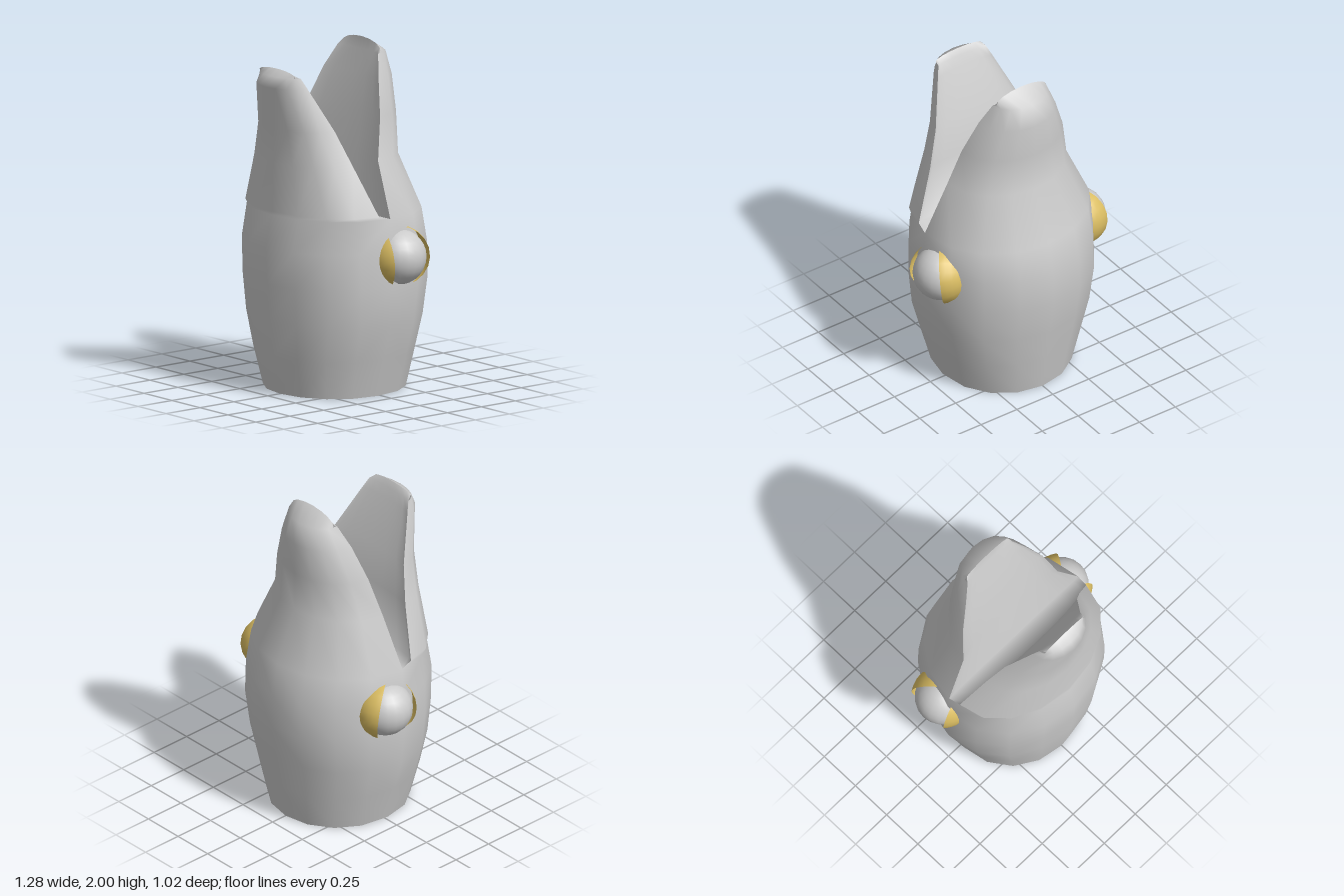
import * as THREE from 'three';
import { mergeGeometries, mergeVertices } from 'three/addons/utils/BufferGeometryUtils.js';

const COLS = 8;
const grey = new THREE.MeshStandardMaterial({ color: 0xcccccc, side: THREE.DoubleSide });
const gold = new THREE.MeshStandardMaterial({ color: 0xd9bc62, side: THREE.DoubleSide });

// Sections: [y, half width, z of the split edge, z of the outer wall, arch height]
const frontLower = [
  [0, 0.40, 0.02, 0.41], [0.22, 0.46, 0.02, 0.46], [0.43, 0.52, 0.02, 0.485],
  [0.65, 0.54, 0.02, 0.505], [0.86, 0.535, 0.02, 0.515], [1.05, 0.52, 0.025, 0.475],
];
const backLower = [
  [0, 0.40, 0.02, -0.40], [0.22, 0.46, 0.02, -0.44], [0.43, 0.52, 0.02, -0.475],
  [0.65, 0.54, 0.02, -0.51], [0.86, 0.535, 0.02, -0.505], [1.05, 0.52, 0.025, -0.465],
];
const frontJaw = [
  [1.07, 0.51, 0.10, 0.47], [1.35, 0.375, 0.18, 0.457], [1.55, 0.29, 0.245, 0.46],
  [1.8, 0.19, 0.365, 0.515], [1.86, 0.165, 0.395, 0.485], [1.865, 0.16, 0.43, 0.43, 0.03],
];
const backJaw = [
  [1.36, 0.38, 0, -0.33], [1.6, 0.325, -0.06, -0.33], [1.8, 0.245, -0.115, -0.33],
  [1.93, 0.18, -0.165, -0.30], [1.935, 0.175, -0.19, -0.19, 0.065],
];

// Half-oval row of points; bulge 1 is the outer wall, a small bulge the hollow inner wall
function row([y, w, zEdge, zOuter, arch = 0], bulge = 1) {
  return Array.from({ length: COLS + 1 }, (_, j) => {
    const a = (j / COLS - 0.5) * Math.PI;
    const c = Math.pow(Math.max(0, Math.cos(a)), 0.93);
    return [w * Math.sin(a), y + arch * c, zEdge + (zOuter - zEdge) * c * bulge];
  });
}

// Skin joining successive rows of points
function skin(rows, flip) {
  const index = [];
  const n = COLS + 1;
  for (let i = 0; i < rows.length - 1; i++) {
    for (let j = 0; j < COLS; j++) {
      const a = i * n + j, b = a + 1, c = b + n, d = a + n;
      index.push(...(flip ? [a, c, b, a, d, c] : [a, b, c, a, c, d]));
    }
  }
  const geo = new THREE.BufferGeometry();
  geo.setAttribute('position', new THREE.Float32BufferAttribute(rows.flat(2), 3));
  geo.setIndex(index);
  geo.computeVertexNormals();
  return geo;
}

function add(parent, name, geo, material = grey) {
  const mesh = new THREE.Mesh(geo, material);
  mesh.name = name;
  parent.add(mesh);
  return mesh;
}

// Eyelid: a spherical cap turned towards the given axis
function addLid(parent, name, angle, axis) {
  const lid = add(parent, name, new THREE.SphereGeometry(0.18, 20, 8, 0, Math.PI * 2, 0, angle), gold);
  lid.quaternion.setFromUnitVectors(new THREE.Vector3(0, 1, 0), new THREE.Vector3(...axis).normalize());
}

export function createModel() {
  const model = new THREE.Group();
  model.name = 'openMouthHead';

  // Outer skin: front and back halves welded along the sides below the mouth
  const halves = [
    skin([...frontLower, ...frontJaw].map(s => row(s)), false),
    skin([...backLower, ...backJaw].map(s => row(s)), true),
  ];
  halves.forEach(g => g.deleteAttribute('normal'));
  const outer = mergeVertices(mergeGeometries(halves), 1e-4);
  outer.computeVertexNormals();
  add(model, 'headSkin', outer);

  // Slightly hollow inner faces of both jaws
  add(model, 'frontJawInside', skin([frontLower[5], ...frontJaw].map((s, i) => row(s, i ? 0.12 : 0)), true));
  add(model, 'backJawInside', skin([backLower[5], ...backJaw].map((s, i) => row(s, i ? 0.12 : 0)), false));

  // Flat base
  add(model, 'base', skin([row(frontLower[0]), row(backLower[0])], true));

  // Eyes with two lids each, mirrored left and right
  for (const side of [1, -1]) {
    const eye = new THREE.Group();
    eye.name = side > 0 ? 'leftEye' : 'rightEye';
    eye.position.set(side * 0.478, 0.812, -0.07);
    add(eye, 'eyeball', new THREE.SphereGeometry(0.16, 20, 14));
    addLid(eye, 'frontLid', 1.12, [-0.35 * side, -0.08, 0.94]);
    addLid(eye, 'backLid', 1.52, [-0.79 * side, 0.1, -0.61]);
    model.add(eye);
  }
  return model;
}
